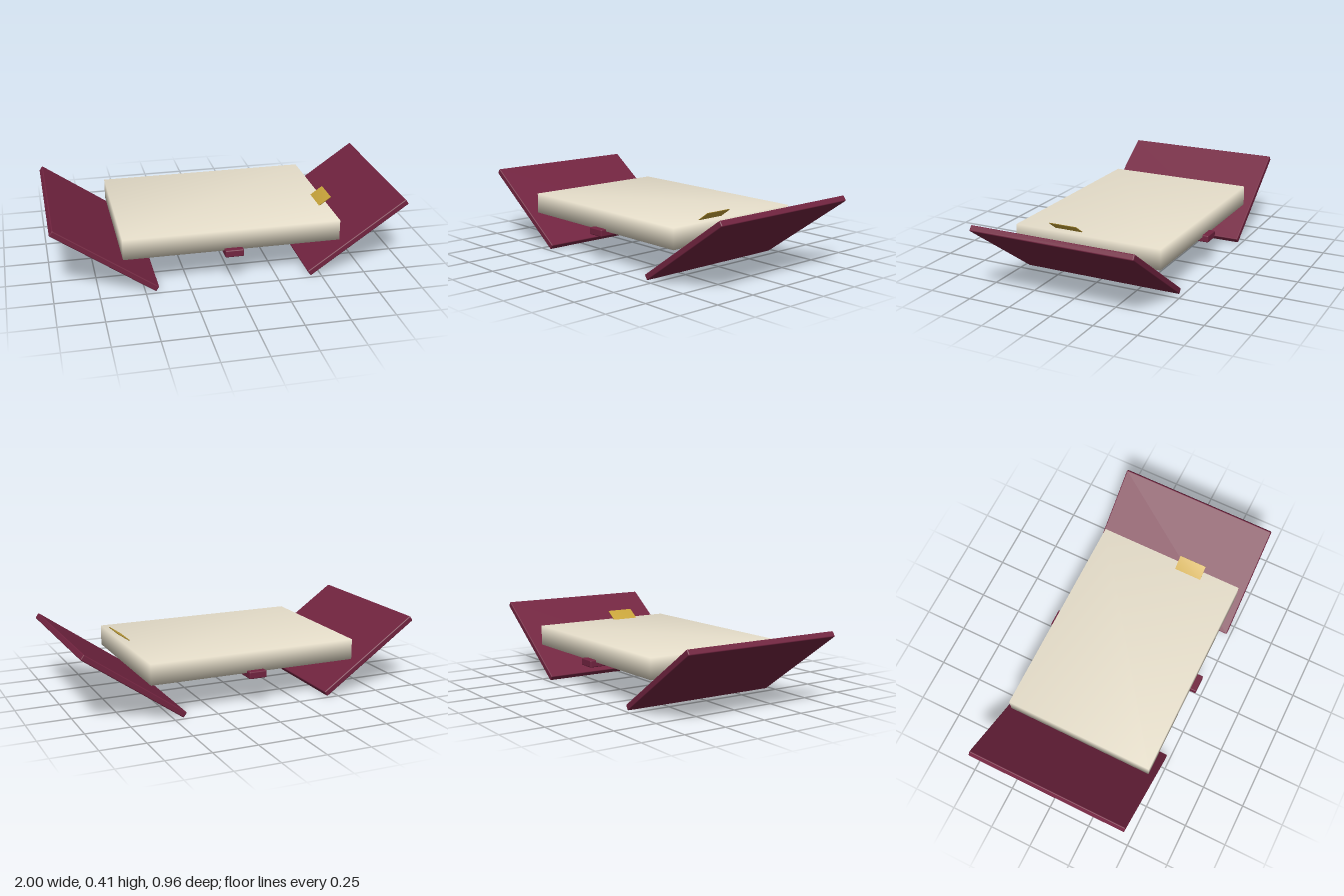
import * as THREE from 'three';
import { mergeVertices } from 'three/addons/utils/BufferGeometryUtils.js';
import { RoundedBoxGeometry } from 'three/addons/geometries/RoundedBoxGeometry.js';

const TILT = 0.611; // slope of the opened covers

// Box whose corners share their normals, for soft shading
function softBox(w, h, d) {
  const g = new THREE.BoxGeometry(w, h, d);
  g.deleteAttribute('uv');
  g.deleteAttribute('normal');
  const merged = mergeVertices(g);
  merged.computeVertexNormals();
  return merged;
}

export function createModel() {
  const book = new THREE.Group();
  book.name = 'openBook';

  const leather = new THREE.MeshStandardMaterial({ color: 0x722440 });
  const paper = new THREE.MeshStandardMaterial({ color: 0xe8e0cc });
  const gold = new THREE.MeshStandardMaterial({ color: 0xc9a53a });

  const add = (name, geometry, material, x, y, z, tilt = 0) => {
    const mesh = new THREE.Mesh(geometry, material);
    mesh.name = name;
    mesh.position.set(x, y, z);
    mesh.rotation.z = tilt;
    book.add(mesh);
  };

  // Two covers, sloping up and outwards
  const cover = new RoundedBoxGeometry(0.682, 0.034, 0.956, 2, 0.006);
  for (const side of [1, -1]) {
    add(side > 0 ? 'leftCover' : 'rightCover', cover, leather, side * 0.712, 0.21, 0, side * TILT);
  }

  // Spine under the pages
  add('spine', new RoundedBoxGeometry(0.105, 0.041, 0.956, 2, 0.006), leather, 0, 0.186, 0);

  // Page block
  add('pages', softBox(1.226, 0.118, 0.885), paper, 0, 0.253, 0);

  // Thin clasp rising from the edge of the pages
  add('clasp', softBox(0.086, 0.005, 0.165), gold, 0.595, 0.334, 0.133, TILT);

  return book;
}
